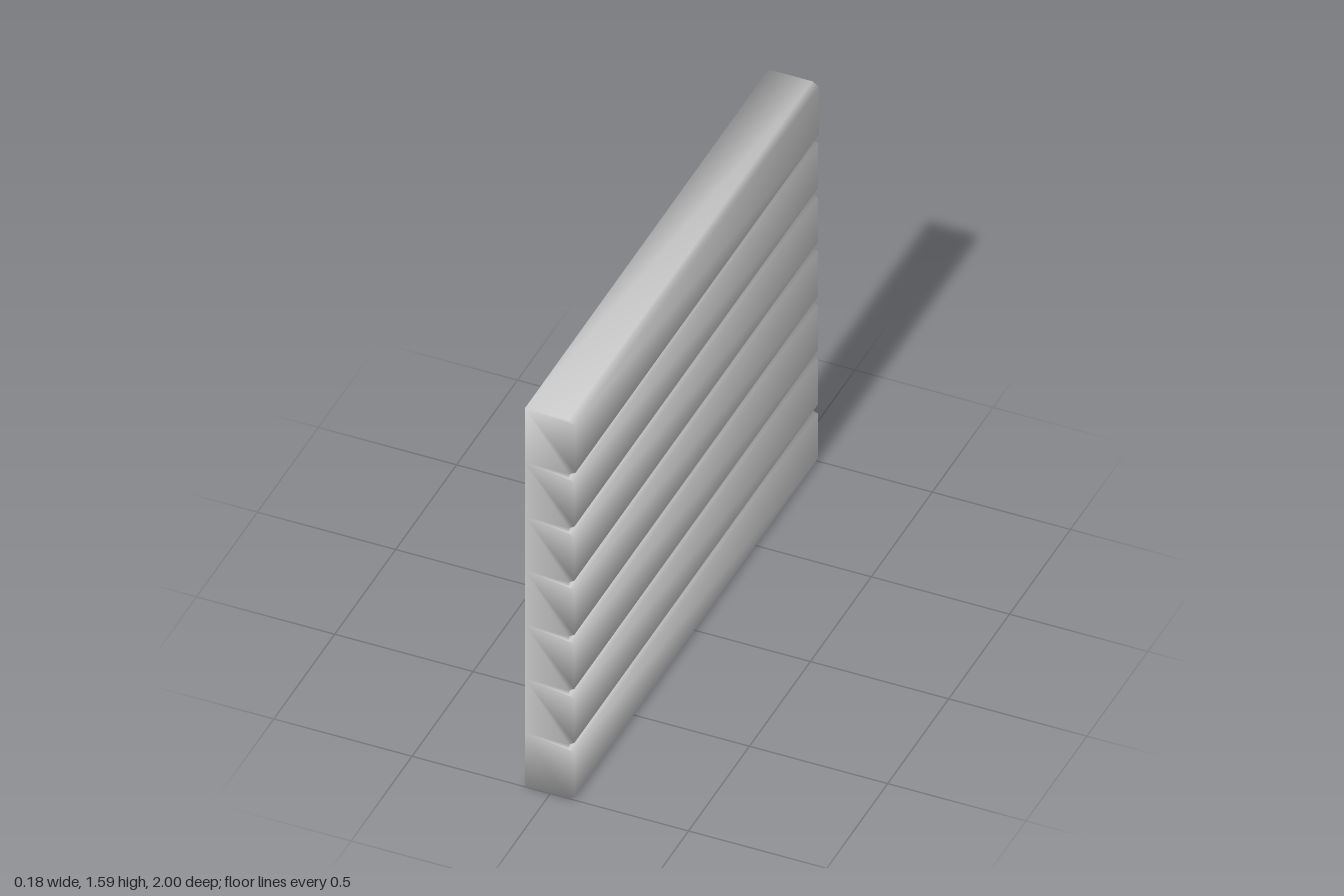
import * as THREE from 'three';

const PLANKS = 7, HEIGHT = 1.585, PITCH = HEIGHT / PLANKS;
const BACK = -0.092, FLOOR = 0.066; // flat back and groove floor, in x

// Front outline of one plank, from its foot upward
function plankProfile(i) {
  const y = i * PITCH, top = y + PITCH;
  if (i === PLANKS - 1) {
    return [[FLOOR, y], [0.091, y + 0.013], [0.091, top - 0.016], [FLOOR, top]];
  }
  return [[FLOOR, y], [0.087, y + 0.013], [0.086, top - 0.026], [FLOOR, top - 0.02]];
}

// Smooth normals in which every triangle around a corner counts equally
function setSmoothNormals(geometry) {
  const pos = geometry.attributes.position, index = geometry.index;
  const sums = Array.from({ length: pos.count }, () => new THREE.Vector3());
  const tri = new THREE.Triangle(), n = new THREE.Vector3();
  for (let f = 0; f < index.count; f += 3) {
    const ids = [0, 1, 2].map((k) => index.getX(f + k));
    tri.setFromAttributeAndIndices(pos, ...ids);
    tri.getNormal(n);
    ids.forEach((id) => sums[id].add(n));
  }
  const normals = sums.flatMap((s) => s.normalize().toArray());
  geometry.setAttribute('normal', new THREE.Float32BufferAttribute(normals, 3));
}

function wallGeometry() {
  // Closed outline: down the back, then up the grooved front
  const outline = [];
  for (let i = PLANKS; i >= 0; i--) outline.push([BACK, i * PITCH]);
  for (let i = 0; i < PLANKS; i++) outline.push(...plankProfile(i));
  const count = outline.length;
  const positions = [];
  for (const z of [1, -1]) for (const [x, y] of outline) positions.push(x, y, z);

  // Long faces
  const faces = [];
  for (let a = 0; a < count; a++) {
    const b = (a + 1) % count;
    faces.push(a, a + count, b, b, a + count, b + count);
  }

  // Both ends, one fan of triangles per plank
  for (let i = 0; i < PLANKS; i++) {
    const hub = PLANKS - i - 1, foot = PLANKS - i, front = PLANKS + 1 + i * 4;
    const rim = [foot, front, front + 1, front + 2, front + 3];
    if (i < PLANKS - 1) rim.push(front + 4);
    for (let k = 0; k < rim.length - 1; k++) {
      faces.push(hub, rim[k], rim[k + 1]);
      faces.push(hub + count, rim[k + 1] + count, rim[k] + count);
    }
  }

  const geometry = new THREE.BufferGeometry();
  geometry.setAttribute('position', new THREE.Float32BufferAttribute(positions, 3));
  geometry.setIndex(faces);
  setSmoothNormals(geometry);
  return geometry;
}

export function createModel() {
  const group = new THREE.Group();
  group.name = 'plankWallPanel';
  const wall = new THREE.Mesh(wallGeometry(), new THREE.MeshStandardMaterial({ color: 0xcccccc }));
  wall.name = 'plankWall';
  group.add(wall);
  return group;
}
